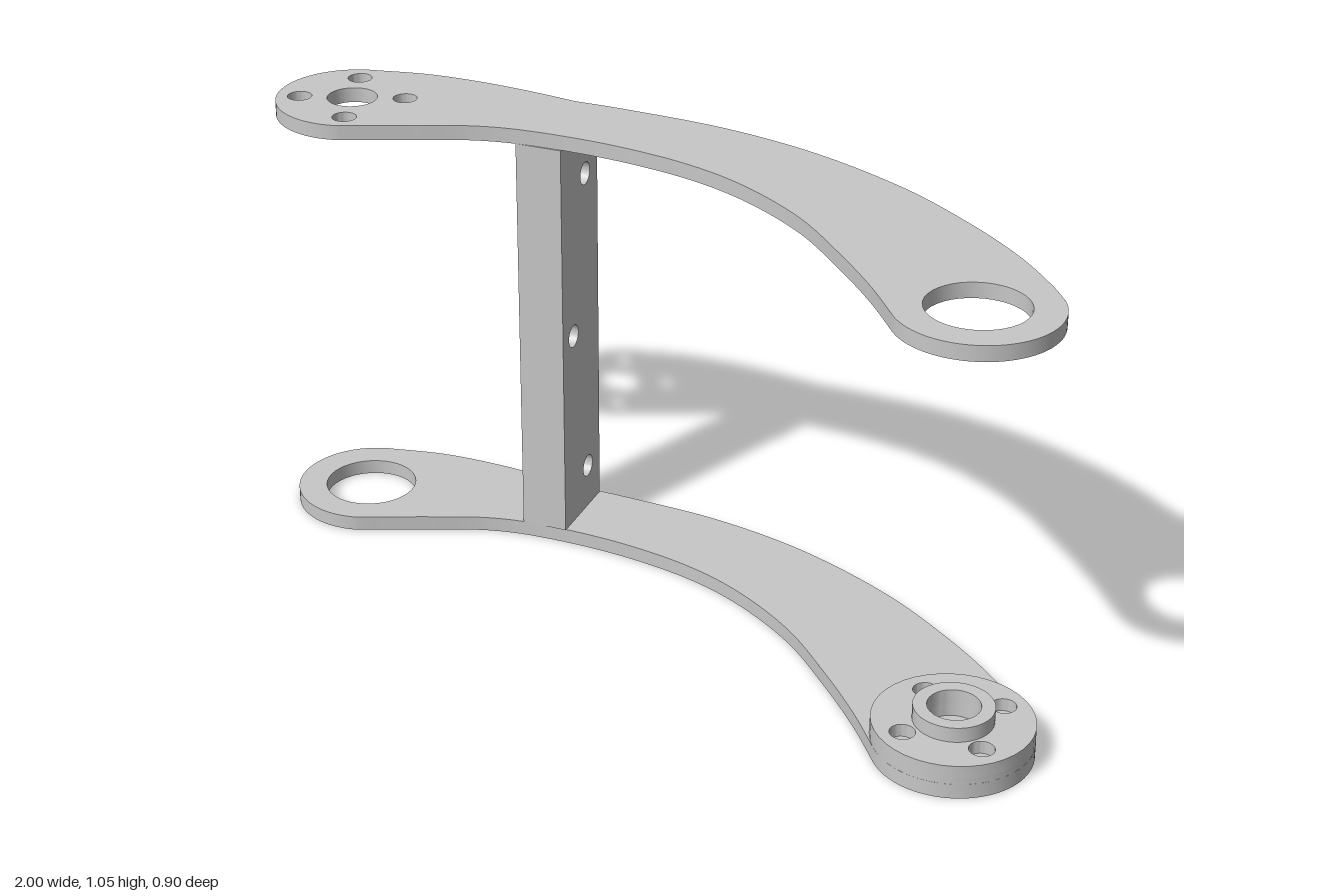
import * as THREE from 'three';
import { toCreasedNormals } from 'three/addons/utils/BufferGeometryUtils.js';

const metal = new THREE.MeshStandardMaterial({ color: 0xc7c7c7 });
metal.name = 'grey metal';

const PLATE = 0.035, TOP = 1.012;
const leftEnd = [-0.824, -0.249], rightEnd = [0.824, 0.271], END_R = 0.176;
const rad = THREE.MathUtils.degToRad;

// Shapes are drawn in plan with y = -z
const circle = ([x, z], r) => new THREE.Path().absarc(x, -z, r, 0, Math.PI * 2, false);
const boltHoles = ([x, z], startDeg) => [0, 1, 2, 3].map((i) => {
  const a = rad(startDeg + i * 90);
  return circle([x + 0.122 * Math.cos(a), z - 0.122 * Math.sin(a)], 0.028);
});

function disc(centre, r, holes) {
  const s = new THREE.Shape();
  s.absarc(centre[0], -centre[1], r, 0, Math.PI * 2, false);
  s.holes.push(...holes);
  return s;
}

// Curved arm outline with rounded ends
function armShape(holes) {
  const pts = (list) => list.map(([x, z]) => new THREE.Vector2(x, -z));
  const s = new THREE.Shape();
  s.moveTo(-0.85, 0.423);
  s.splineThru(pts([[-0.73, -0.446], [-0.61, -0.45], [-0.48, -0.441], [-0.34, -0.421]]));
  s.splineThru(pts([[-0.21, -0.419], [0.03, -0.4], [0.27, -0.34], [0.51, -0.23],
    [0.7, -0.1], [0.835, 0.015], [0.93, 0.12], [0.976, 0.183]]));
  s.absarc(rightEnd[0], -rightEnd[1], END_R, rad(30), rad(-142), true);
  s.splineThru(pts([[0.6, 0.265], [0.487, 0.135], [0.353, 0], [0.19, -0.11], [0.03, -0.175],
    [-0.155, -0.21], [-0.34, -0.217], [-0.475, -0.2], [-0.61, -0.15], [-0.77, -0.082]]));
  s.absarc(leftEnd[0], -leftEnd[1], END_R, rad(-72), rad(-262), true);
  s.holes.push(...holes);
  return s;
}

function slab(name, shape, y, height) {
  const g = new THREE.ExtrudeGeometry(shape, { depth: height, bevelEnabled: false, curveSegments: 20 });
  g.rotateX(-Math.PI / 2).translate(0, y, 0);
  const mesh = new THREE.Mesh(toCreasedNormals(g, rad(25)), metal);
  mesh.name = name;
  return mesh;
}

// Upright post, drilled sideways, its back following the kinked arm edge
function post() {
  const back = -0.425, front = -0.214;
  const s = new THREE.Shape();
  s.moveTo(-front, PLATE);
  s.lineTo(-back, PLATE);
  s.lineTo(-back, TOP);
  s.lineTo(-front, TOP);
  s.closePath();
  for (const [z, y] of [[-0.35, 0.905], [-0.275, 0.524], [-0.35, 0.143]]) {
    s.holes.push(circle([-z, -y], 0.027));
  }
  const g = new THREE.ExtrudeGeometry(s, { depth: 0.11, steps: 2, bevelEnabled: false, curveSegments: 32 });
  g.rotateY(Math.PI / 2).translate(-0.396, 0, 0);
  const p = g.attributes.position;
  for (let i = 0; i < p.count; i++) {
    if (p.getZ(i) < -0.42) {
      const x = p.getX(i);
      p.setZ(i, x < -0.37 ? -0.43 : x < -0.32 ? -0.421 : -0.42);
    }
  }
  const mesh = new THREE.Mesh(toCreasedNormals(g, rad(7)), metal);
  mesh.name = 'post';
  return mesh;
}

export function createModel() {
  const model = new THREE.Group();
  model.name = 'linkBracket';

  const bore = () => circle(rightEnd, 0.058);
  const topHoles = [circle(leftEnd, 0.058), ...boltHoles(leftEnd, 19), circle(rightEnd, 0.109)];
  const bottomHoles = [circle(leftEnd, 0.109), bore(), ...boltHoles(rightEnd, 39)];

  model.add(
    slab('topArm', armShape(topHoles), TOP, PLATE),
    slab('bottomArm', armShape(bottomHoles), 0, PLATE),
    // Pivot hub on the lower arm: web with a small bore, drilled disc, collar
    slab('hubWeb', disc(rightEnd, END_R, [circle(rightEnd, 0.027)]), PLATE, 0.015),
    slab('hubDisc', disc(rightEnd, END_R, [bore(), ...boltHoles(rightEnd, 46)]), 0.05, 0.03),
    slab('hubCollar', disc(rightEnd, 0.088, [bore()]), 0.08, 0.035),
    post(),
  );
  return model;
}
